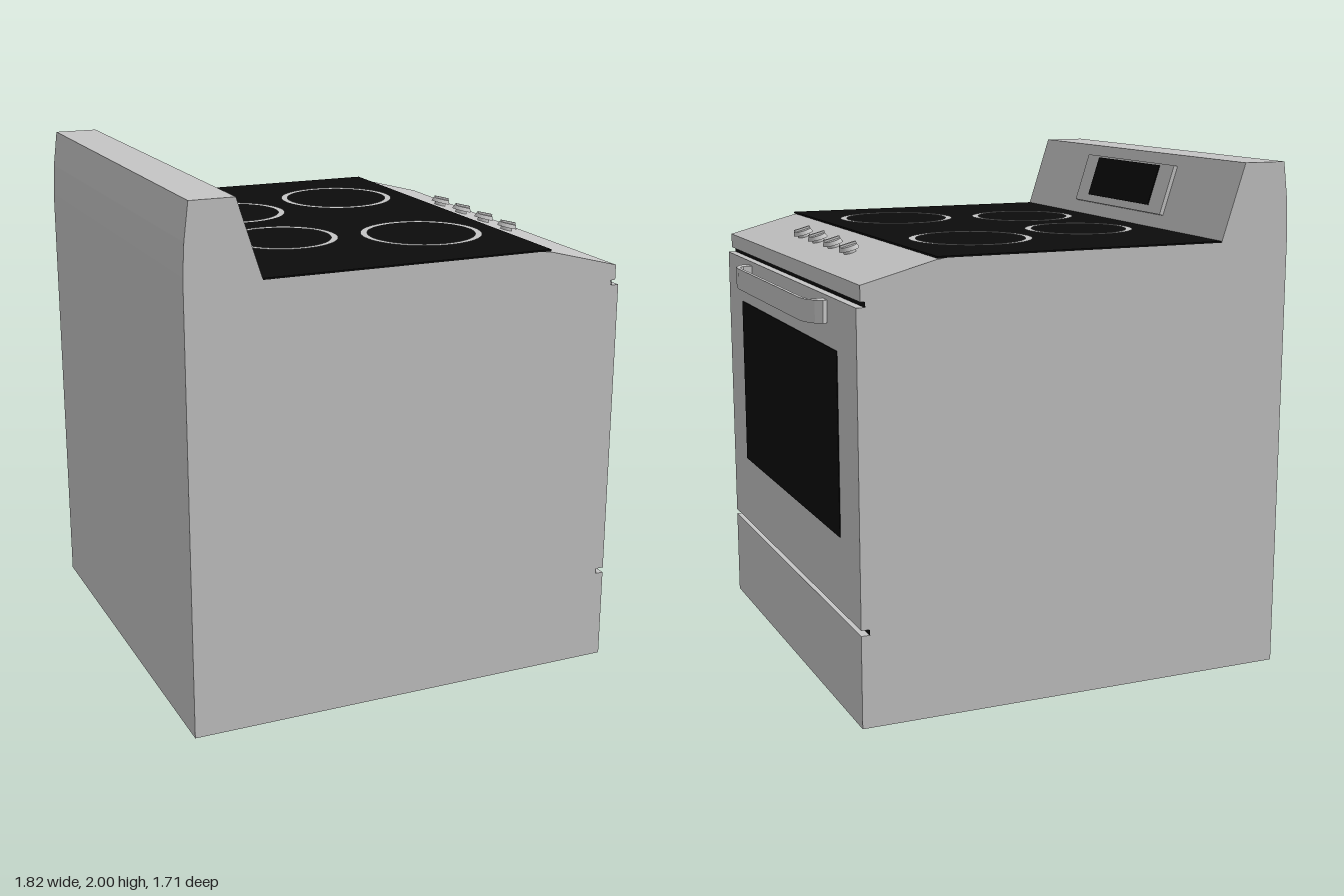
import * as THREE from 'three';

const WIDTH = 1.71;

export function createModel() {
  const model = new THREE.Group();
  model.name = 'kitchenRange';

  const steel = new THREE.MeshStandardMaterial({ color: 0xc4c4c4 });
  steel.name = 'brushed steel';
  const black = new THREE.MeshStandardMaterial({ color: 0x0b0b0b });
  black.name = 'black glass';

  const add = (name, geometry, material, x = 0, y = 0, z = 0, parent = model) => {
    const mesh = new THREE.Mesh(geometry, material);
    mesh.name = name;
    mesh.position.set(x, y, z);
    parent.add(mesh);
    return mesh;
  };
  const box = (name, x0, x1, y0, y1, depth, material, parent) =>
    add(name, new THREE.BoxGeometry(x1 - x0, y1 - y0, depth), material,
      (x0 + x1) / 2, (y0 + y1) / 2, 0, parent);
  const shapeOf = (points) => new THREE.Shape(points.map(([x, y]) => new THREE.Vector2(x, y)));

  // Cabinet with backsplash: side profile swept across the width
  const profile = shapeOf([
    [-0.91, 0], [0.798, 0], [0.798, 1.567], [0.817, 1.567], [0.817, 1.625],
    [0.53, 1.70], [0.49, 1.704], [-0.62, 1.704], [-0.715, 2], [-0.885, 2], [-0.903, 1.86], [-0.91, 1.74],
  ]);
  const cabinet = new THREE.ExtrudeGeometry(profile, { depth: WIDTH, bevelEnabled: false });
  add('cabinet', cabinet, steel, 0, 0, -WIDTH / 2);

  // Drawer, door and the dark seams between them
  box('drawer', 0.798, 0.832, 0, 0.356, WIDTH, steel);
  box('ovenDoor', 0.798, 0.832, 0.377, 1.547, WIDTH, steel);
  box('lowerSeam', 0.797, 0.801, 0.356, 0.377, WIDTH, black);
  box('upperSeam', 0.797, 0.801, 1.547, 1.567, WIDTH, black);
  box('ovenWindow', 0.83, 0.835, 0.665, 1.36, 1.28, black);

  // Door handle: a bowed strip with thick feet, mirrored end to end
  const outer = [[0.83, 0.53], [0.85, 0.54], [0.875, 0.52], [0.9, 0.475], [0.907, 0.42]];
  const inner = [[0.893, 0.4], [0.89, 0.45], [0.868, 0.48], [0.83, 0.48]];
  const half = [...outer.slice().reverse()];
  const mirror = (points) => points.map(([x, z]) => [x, -z]);
  const handleShape = shapeOf([
    ...half, ...inner.slice().reverse(), ...mirror(inner), ...mirror(outer),
  ]);
  const handle = new THREE.ExtrudeGeometry(handleShape, { depth: 0.085, bevelEnabled: false });
  handle.rotateX(Math.PI / 2);
  add('doorHandle', handle, steel, 0, 1.53, 0);

  // Glass cooktop and burner rings
  box('cooktop', -0.62, 0.53, 1.703, 1.71, WIDTH, black);
  for (const side of [-1, 1]) {
    for (const [x, z, r] of [[-0.312, 0.27, 0.215], [0.215, 0.406, 0.236]]) {
      const ring = new THREE.RingGeometry(r - 0.026, r, 64);
      ring.rotateX(-Math.PI / 2);
      add('burnerRing', ring, steel, x, 1.713, z * side);
    }
  }

  // Control knobs on the sloping front panel
  for (const z of [-0.29, -0.097, 0.097, 0.29]) {
    const knob = new THREE.Group();
    knob.name = 'knob';
    knob.position.set(0.66, 1.666, z);
    knob.rotation.z = -0.256;
    add('knobStem', new THREE.CylinderGeometry(0.024, 0.024, 0.02, 20), steel, 0, 0.005, 0, knob);
    add('knobCap', new THREE.CylinderGeometry(0.034, 0.04, 0.016, 24), steel, 0, 0.02, 0, knob);
    add('knobGrip', new THREE.BoxGeometry(0.066, 0.01, 0.012), steel, 0, 0.031, 0, knob);
    model.add(knob);
  }

  // Display panel lying on the slanted backsplash
  const display = new THREE.Group();
  display.name = 'displayPanel';
  display.position.set(-0.669, 1.858, 0);
  display.rotation.z = Math.atan2(0.095, 0.296);
  box('displayFrame', -0.01, 0.016, -0.102, 0.102, 0.75, steel, display);
  box('displayScreen', 0.014, 0.02, -0.072, 0.094, 0.53, black, display);
  model.add(display);

  return model;
}
